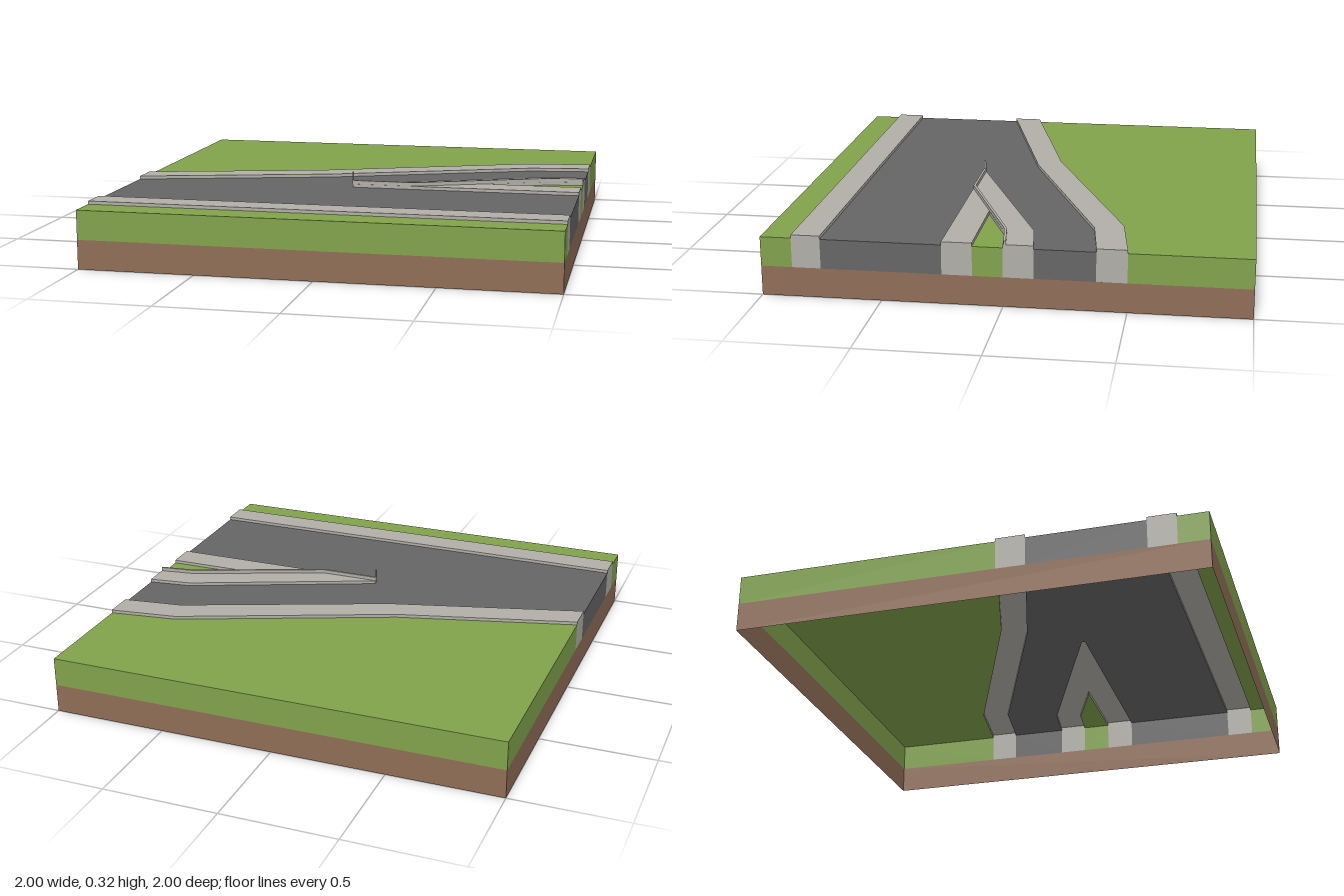
import * as THREE from 'three';

const flat = (name, color) =>
  new THREE.MeshStandardMaterial({ name, color, side: THREE.DoubleSide });

const GROUND = 0.25, KERB = 0.264, SOIL = 0.125, RAIL = 0.28;

// Sheet over an [x, z] outline, with walls dropping from its edges.
// drop(a, b) gives the wall's lower height for an edge, or null for no wall.
function shell(name, material, points, top, drop, capped = true) {
  let pts = points.map(([x, z]) => new THREE.Vector2(x, -z));
  if (THREE.ShapeUtils.isClockWise(pts)) pts = pts.reverse();
  const pos = [];
  const put = (p, y) => pos.push(p.x, y, -p.y);
  if (capped) {
    for (const tri of THREE.ShapeUtils.triangulateShape(pts, [])) {
      tri.forEach(i => put(pts[i], top));
    }
  }
  pts.forEach((a, i) => {
    const b = pts[(i + 1) % pts.length];
    const low = drop(a, b);
    if (low === null || low >= top) return;
    put(a, low); put(b, low); put(b, top);
    put(a, low); put(b, top); put(a, top);
  });
  const geo = new THREE.BufferGeometry();
  geo.setAttribute('position', new THREE.Float32BufferAttribute(pos, 3));
  geo.computeVertexNormals();
  const mesh = new THREE.Mesh(geo, material);
  mesh.name = name;
  return mesh;
}

// Edges on the tile border reach down to the soil, inner edges to the ground.
const onBorder = (a, b) => ['x', 'y'].some(k => Math.abs(a[k]) === 1 && a[k] === b[k]);
const tileDrop = (a, b) => (onBorder(a, b) ? SOIL : GROUND);

export function createModel() {
  const group = new THREE.Group();
  group.name = 'roadForkTile';
  const grass = flat('grass green', 0x80a24b);
  const soil = flat('soil brown', 0x8f6d56);
  const concrete = flat('concrete grey', 0xb1aea7);
  const asphalt = flat('asphalt grey', 0x656565);

  // Shared bends of the branching road
  const outer = [[-1, 0.125], [-0.22, -0.085], [0.7, -0.46], [1, -0.5]];
  const inner = [[1, -0.375], [0.735, -0.34], [-0.15, 0.015], [-1, 0.25]];
  const fork = [[1, -0.125], [0.81, -0.1], [0, 0.235], [0, 0.25], [1, 0.25]];
  const verge = [[1, 0.125], [0.58, 0.125], [0.85, 0.015], [1, 0]];

  const tile = (name, mat, pts, top) => group.add(shell(name, mat, pts, top, tileDrop));

  // Grass
  tile('backGrass', grass, [[-1, -1], ...outer, [1, -1]], GROUND);
  tile('frontGrass', grass, [[-1, 0.87], [1, 0.87], [1, 1], [-1, 1]], GROUND);
  tile('medianGrass', grass, verge, GROUND);

  // Road surface
  tile('road', asphalt, [...inner, [-1, 0.75], [1, 0.75], ...[...fork].reverse()], GROUND);

  // Raised pavements
  tile('backPavement', concrete, [...outer, ...inner], KERB);
  tile('frontPavement', concrete, [[-1, 0.75], [1, 0.75], [1, 0.87], [-1, 0.87]], KERB);
  tile('medianPavement', concrete, [...fork, ...verge], KERB);

  // Low barrier along the median, with a post at its tip
  const barrier = [
    [0, 0.238], [0.265, 0.238], [0.838, 0.008], [1, -0.014],
    [1, -0.004], [0.842, 0.018], [0.27, 0.248], [0, 0.248],
  ];
  group.add(shell('barrier', concrete, barrier, RAIL, () => KERB));
  const post = new THREE.Mesh(new THREE.BoxGeometry(0.006, 0.056, 0.01), concrete);
  post.name = 'barrierPost';
  post.position.set(0, 0.29, 0.243);
  group.add(post);

  // Open soil skirt
  group.add(shell('soilSkirt', soil, [[-1, -1], [-1, 1], [1, 1], [1, -1]], SOIL, () => 0, false));
  return group;
}
